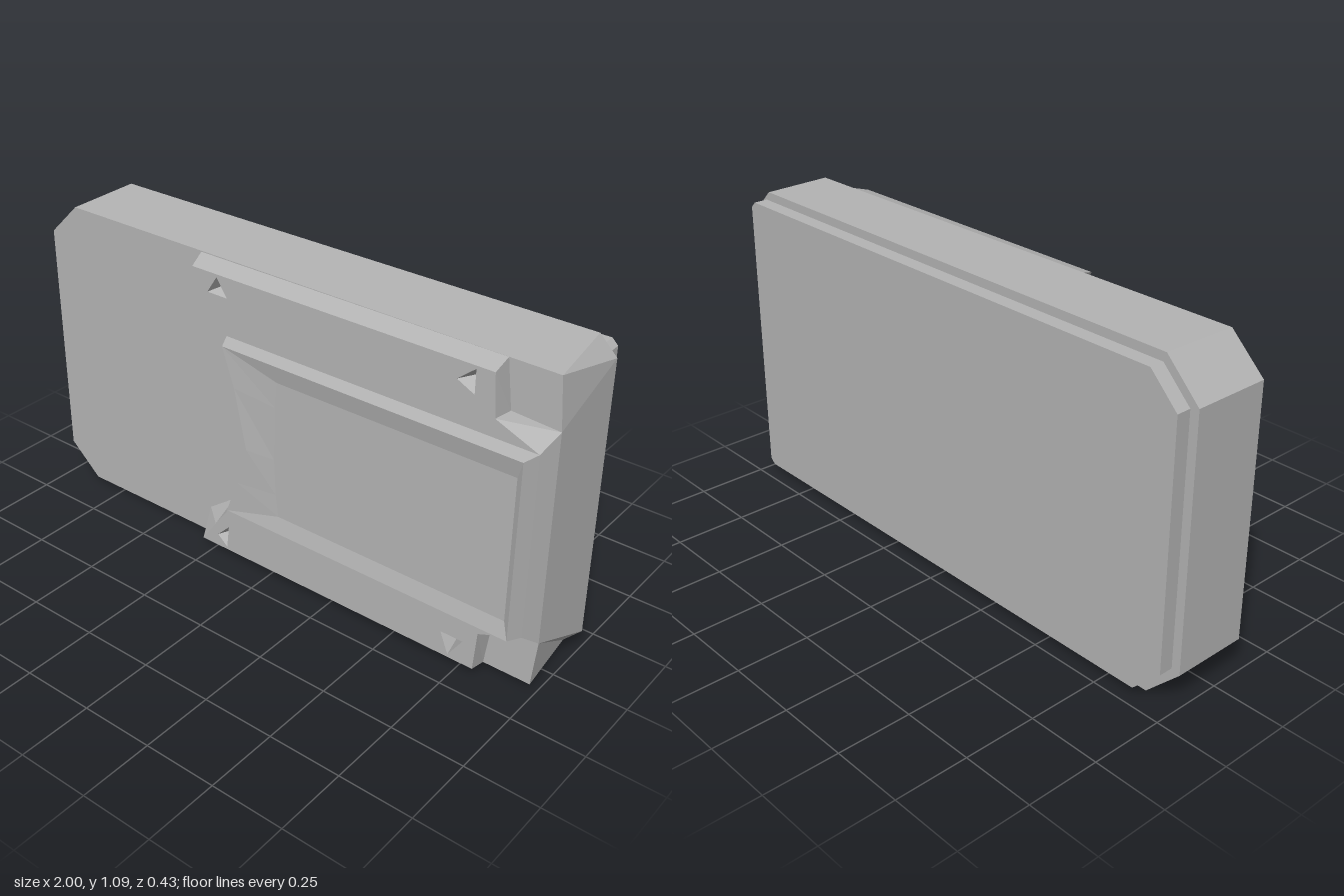
import * as THREE from 'three';

const shell = new THREE.MeshStandardMaterial({ color: 0xb4b4b4, flatShading: true });
shell.name = 'shell grey';

// Side walls between stacked outlines; each ring is { z, pts } running anticlockwise seen from the front
function walls(rings) {
  const pos = [];
  for (let r = 0; r + 1 < rings.length; r++) {
    const a = rings[r], b = rings[r + 1], n = a.pts.length;
    for (let i = 0; i < n; i++) {
      const j = (i + 1) % n;
      const p = [...a.pts[i], a.z], q = [...a.pts[j], a.z];
      const s = [...b.pts[j], b.z], t = [...b.pts[i], b.z];
      pos.push(...p, ...q, ...s, ...p, ...s, ...t);
    }
  }
  const g = new THREE.BufferGeometry();
  g.setAttribute('position', new THREE.Float32BufferAttribute(pos, 3));
  g.computeVertexNormals();
  return g;
}

// Flat end face, with optional holes
function cap(ring, back = false, holes = []) {
  const v = (p) => p.map(([x, y]) => new THREE.Vector2(back ? -x : x, y));
  const shape = new THREE.Shape(v(ring.pts));
  shape.holes = holes.map((h) => new THREE.Path(v(h)));
  const g = new THREE.ShapeGeometry(shape);
  if (back) g.rotateY(Math.PI);
  return g.translate(0, 0, ring.z);
}

function part(name, geometries) {
  const group = new THREE.Group();
  group.name = name;
  geometries.forEach((g, i) => {
    const mesh = new THREE.Mesh(g, shell);
    mesh.name = name + (i ? 'Face' + i : 'Sides');
    group.add(mesh);
  });
  return group;
}

export function createModel() {
  const model = new THREE.Group();
  model.name = 'steppedBlock';

  // Main slab: clipped corners at one end, twisted corner facets at the other
  const slabBack = { z: -0.165, pts: [[-0.88, 0.005], [0.94, 0.005], [1, 0.07], [1, 1.03], [0.94, 1.09], [-0.88, 1.09], [-1, 0.97], [-1, 0.125]] };
  const slabFront = { z: 0.1, pts: [[-0.88, 0.015], [0.975, 0.02], [0.99, 0.185], [0.99, 0.91], [0.975, 1.08], [-0.88, 1.085], [-1, 0.97], [-1, 0.125]] };
  model.add(part('slab', [walls([slabBack, slabFront]), cap(slabBack, true), cap(slabFront)]));

  // Inset back plate
  const plate = [[-0.87, 0.035], [0.955, 0.035], [0.975, 0.055], [0.975, 1.04], [0.955, 1.06], [-0.87, 1.06], [-0.97, 0.96], [-0.97, 0.135]];
  const plateBack = { z: -0.215, pts: plate };
  model.add(part('backPlate', [walls([plateBack, { z: -0.165, pts: plate }]), cap(plateBack, true)]));

  // Raised deck with bevelled rails, cut-away outer corners and an angled inner end
  const deckBase = { z: 0.1, pts: [[-0.31, 0.02], [0.81, 0.02], [0.83, 0.175], [0.99, 0.185], [0.99, 0.91], [0.83, 0.92], [0.81, 1.08], [-0.31, 1.08],
    [-0.25, 0.9], [-0.11, 0.73], [-0.08, 0.53], [-0.11, 0.36], [-0.2, 0.2], [-0.31, 0.12]] };
  const deckTop = { z: 0.165, pts: [[-0.29, 0.035], [0.81, 0.035], [0.82, 0.175], [0.965, 0.235], [0.965, 0.86], [0.82, 0.92], [0.81, 1.06], [-0.29, 1.06],
    [-0.24, 0.94], [-0.1, 0.73], [-0.06, 0.52], [-0.1, 0.35], [-0.17, 0.2], [-0.23, 0.12]] };
  const pits = [
    [[-0.23, 0.99], [-0.15, 0.99], [-0.19, 1.05]],
    [[0.69, 1.0], [0.75, 0.97], [0.75, 1.05]],
    [[-0.18, 0.045], [-0.17, 0.13], [-0.22, 0.08]],
    [[0.72, 0.045], [0.77, 0.12], [0.69, 0.12]],
  ];
  model.add(part('deck', [walls([deckBase, deckTop]), cap(deckTop, false, pits)]));

  // Three-sided pits in the rails
  pits.forEach((pts) => {
    const mid = [0, 1].map((k) => (pts[0][k] + pts[1][k] + pts[2][k]) / 3);
    const tip = pts.map(([x, y]) => [mid[0] + (x - mid[0]) * 0.05, mid[1] + (y - mid[1]) * 0.05]);
    const floor = { z: 0.115, pts: tip };
    model.add(part('railPit', [walls([{ z: 0.165, pts }, floor]), cap(floor)]));
  });

  // Centre panel with a shallow dished face
  const panelBase = { z: 0.165, pts: [[-0.155, 0.235], [0.965, 0.235], [0.965, 0.86], [-0.155, 0.86], [-0.1, 0.73], [-0.06, 0.52], [-0.1, 0.36]] };
  const panelRim = { z: 0.215, pts: [[-0.13, 0.243], [0.945, 0.243], [0.945, 0.852], [-0.13, 0.852], [-0.085, 0.72], [-0.04, 0.51], [-0.085, 0.37]] };
  const panelDish = { z: 0.203, pts: [[0.08, 0.3], [0.925, 0.3], [0.925, 0.79], [0.08, 0.79], [0.07, 0.7], [0.065, 0.51], [0.07, 0.38]] };
  model.add(part('panel', [walls([panelBase, panelRim, panelDish]), cap(panelDish)]));

  return model;
}
